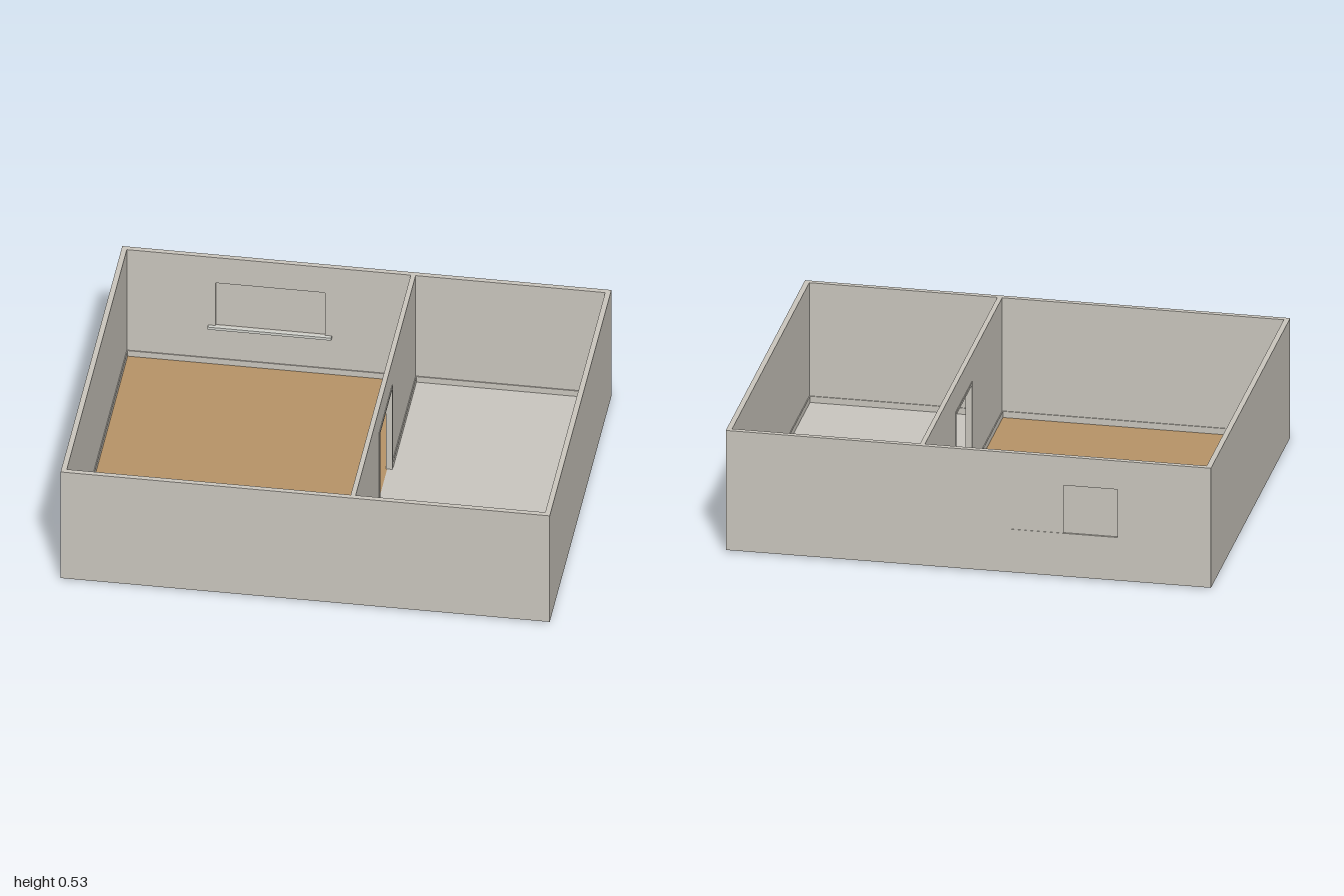
import * as THREE from 'three';

const mat = (name, color) => {
  const m = new THREE.MeshStandardMaterial({ color });
  m.name = name;
  return m;
};

// Main dimensions
const X = 1, Z = 0.805, T = 0.022;         // outer half sizes, wall thickness
const BASE = 0.007, TOP = 0.53, FLOOR = 0.008;
const PX0 = 0.183, PX1 = 0.203;            // partition faces
const DOOR = { half: 0.168, top: 0.415 };
const WIN = { x0: -0.615, x1: -0.168, y0: 0.195, y1: 0.405 };

export function createModel() {
  const model = new THREE.Group();
  model.name = 'twoRoomHouse';
  const wall = mat('wallPaint', 0xcbc7be);
  const wood = mat('woodFloor', 0xb89468);
  const tile = mat('paleFloor', 0xcac7c0);
  const trim = mat('windowTrim', 0xd3d4ce);

  // Box given by its extents
  const box = (name, m, x0, x1, y0, y1, z0, z1, parent = model) => {
    const mesh = new THREE.Mesh(new THREE.BoxGeometry(x1 - x0, y1 - y0, z1 - z0), m);
    mesh.position.set((x0 + x1) / 2, (y0 + y1) / 2, (z0 + z1) / 2);
    mesh.name = name;
    parent.add(mesh);
    return mesh;
  };
  const polygon = (C, pts) => {
    const p = new C();
    pts.forEach(([x, y], i) => (i ? p.lineTo(x, y) : p.moveTo(x, y)));
    p.closePath();
    return p;
  };
  const extrude = (shape, depth) => new THREE.ExtrudeGeometry(shape, { depth, bevelEnabled: false });

  const ix = X - T, iz = Z - T;            // inner faces of the outer walls

  // Floors
  box('mainRoomFloor', wood, -ix, PX0 + 0.002, 0, FLOOR, -iz, iz);
  box('sideRoomFloor', tile, PX0 + 0.002, ix, 0, FLOOR, -iz, iz);

  // Outer walls
  box('frontWall', wall, -X, X, BASE, TOP, iz, Z);
  box('rightWall', wall, -X, -ix, BASE, TOP, -iz, iz);
  box('leftWall', wall, ix, X, BASE, TOP, -iz, iz);

  // Back wall with the window opening
  const back = polygon(THREE.Shape, [[-X, BASE], [X, BASE], [X, TOP], [-X, TOP]]);
  back.holes.push(polygon(THREE.Path, [
    [WIN.x0, WIN.y0], [WIN.x0, WIN.y1], [WIN.x1, WIN.y1], [WIN.x1, WIN.y0]]));
  const backWall = new THREE.Mesh(extrude(back, T), wall);
  backWall.name = 'backWall';
  backWall.position.z = -Z;
  model.add(backWall);

  // Partition with the doorway notch; shape x runs along z
  const { half, top } = DOOR;
  const part = polygon(THREE.Shape, [
    [-iz, BASE], [-half, BASE], [-half, top], [half, top],
    [half, BASE], [iz, BASE], [iz, TOP], [-iz, TOP]]);
  const partition = new THREE.Mesh(extrude(part, PX1 - PX0), wall);
  partition.name = 'partitionWall';
  partition.rotation.y = -Math.PI / 2;
  partition.position.x = PX1;
  model.add(partition);

  // Door frame
  const frame = new THREE.Group();
  frame.name = 'doorFrame';
  model.add(frame);
  const fx0 = PX0 - 0.003, fx1 = PX1 + 0.003, fw = 0.012;
  for (const s of [-1, 1]) {
    const a = s * half, b = s * (half - fw);
    box('doorJamb', wall, fx0, fx1, FLOOR, top, Math.min(a, b), Math.max(a, b), frame);
  }
  box('doorHead', wall, fx0, fx1, top - fw, top, -half + fw, half - fw, frame);

  // Baseboards around both rooms
  const boards = new THREE.Group();
  boards.name = 'baseboards';
  model.add(boards);
  const bt = 0.004, bh = 0.035;
  for (const [x0, x1] of [[-ix, PX0], [PX1, ix]]) {
    box('backBaseboard', wall, x0, x1, FLOOR, bh, -iz, -iz + bt, boards);
    box('frontBaseboard', wall, x0, x1, FLOOR, bh, iz - bt, iz, boards);
  }
  box('rightBaseboard', wall, -ix, -ix + bt, FLOOR, bh, -iz + bt, iz - bt, boards);
  box('leftBaseboard', wall, ix - bt, ix, FLOOR, bh, -iz + bt, iz - bt, boards);
  for (const x of [PX0 - bt, PX1]) {
    box('partitionBaseboard', wall, x, x + bt, FLOOR, bh, -iz + bt, -half, boards);
    box('partitionBaseboard', wall, x, x + bt, FLOOR, bh, half, iz - bt, boards);
  }

  // Sliding window and its inner sill
  const win = new THREE.Group();
  win.name = 'window';
  model.add(win);
  box('windowPane', wall, WIN.x0, WIN.x1, WIN.y0, WIN.y1, -0.797, -0.791, win);
  box('outerSash', wall, (WIN.x0 + WIN.x1) / 2, WIN.x1, WIN.y0, WIN.y1, -0.803, -0.797, win);
  box('windowSill', trim, -0.645, -0.14, WIN.y0 - 0.012, WIN.y0, -iz, -0.767, win);

  return model;
}
